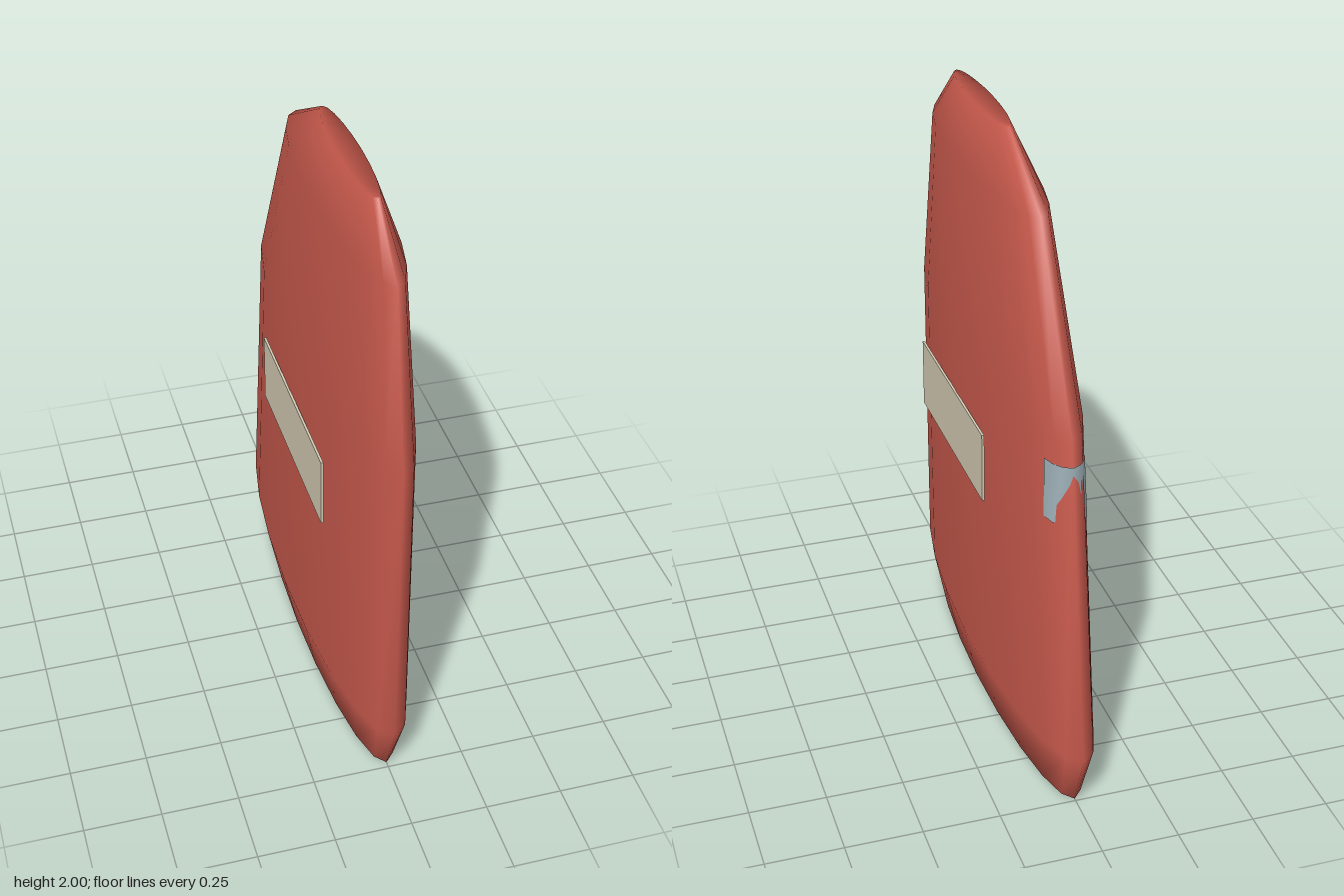
import * as THREE from 'three';

const SIDES = 20;

// Smooth closed loft of elliptical sections: [y, front z, back z, half width]
function loft(sections) {
  const pos = [], idx = [];
  for (const [y, zf, zb, w] of sections) {
    for (let j = 0; j < SIDES; j++) {
      const t = (j / SIDES) * Math.PI * 2;
      pos.push(w * Math.sin(t), y, (zf + zb) / 2 + ((zf - zb) / 2) * Math.cos(t));
    }
  }
  for (let i = 0; i < sections.length - 1; i++) {
    for (let j = 0; j < SIDES; j++) {
      const a = i * SIDES + j, b = i * SIDES + ((j + 1) % SIDES);
      idx.push(a, b, b + SIDES, a, b + SIDES, a + SIDES);
    }
  }
  // End caps, as strips running from front to back
  const top = (sections.length - 1) * SIDES;
  for (let k = 0; k < SIDES / 2; k++) {
    const r0 = k, r1 = k + 1, l0 = (SIDES - k) % SIDES, l1 = SIDES - k - 1;
    const tris = [];
    if (k < SIDES / 2 - 1) tris.push([r0, r1, l1]);
    if (k > 0) tris.push([r0, l1, l0]);
    for (const [a, b, c] of tris) {
      idx.push(top + a, top + b, top + c);
      idx.push(a, c, b);
    }
  }
  const g = new THREE.BufferGeometry();
  g.setAttribute('position', new THREE.Float32BufferAttribute(pos, 3));
  g.setIndex(idx);
  g.computeVertexNormals();
  return g;
}

// Open band between two mirrored half-profiles of [x, z], centre point last
function band(yLow, low, yHigh, high) {
  const full = (p) => [...p, ...p.slice(0, -1).reverse().map(([x, z]) => [-x, z])];
  const lo = full(low), hi = full(high), n = lo.length, pos = [], idx = [];
  for (let i = 0; i < n; i++) {
    pos.push(lo[i][0], yLow, lo[i][1], hi[i][0], yHigh, hi[i][1]);
    if (i < n - 1) {
      const a = i * 2;
      idx.push(a, a + 2, a + 3, a, a + 3, a + 1);
    }
  }
  const g = new THREE.BufferGeometry();
  g.setAttribute('position', new THREE.Float32BufferAttribute(pos, 3));
  g.setIndex(idx);
  g.computeVertexNormals();
  return g;
}

export function createModel() {
  const red = new THREE.MeshStandardMaterial({ color: 0xc7594c });
  red.name = 'red';
  const cream = new THREE.MeshStandardMaterial({ color: 0xd4cbb3 });
  cream.name = 'cream';
  const grey = new THREE.MeshStandardMaterial({ color: 0x9fb1b8, side: THREE.DoubleSide });
  grey.name = 'blueGrey';

  const model = new THREE.Group();
  model.name = 'fin';
  const add = (name, geometry, material) => {
    const m = new THREE.Mesh(geometry, material);
    m.name = name;
    model.add(m);
    return m;
  };

  // Tapered streamlined body
  add('body', loft([
    [0, 0.73, -0.74, 0.105],
    [0.2, 0.81, -0.815, 0.148],
    [1.25, 0.82, -0.655, 0.14],
    [1.83, 0.72, -0.35, 0.1],
    [2, 0.53, -0.04, 0.037],
  ]), red);

  // Thin panel on each flank
  for (const s of [1, -1]) {
    const panel = add(s > 0 ? 'leftPanel' : 'rightPanel', new THREE.BoxGeometry(0.008, 0.235, 0.7), cream);
    panel.position.set(s * 0.144, 0.953, 0.12);
  }

  // Clip wrapped round the rear edge
  add('rearClip', band(
    0.98, [[0.067, -0.6], [0.055, -0.645], [0.03, -0.66], [0, -0.667]],
    1.17, [[0.063, -0.587], [0.051, -0.625], [0.03, -0.655], [0, -0.672]],
  ), grey);

  return model;
}
